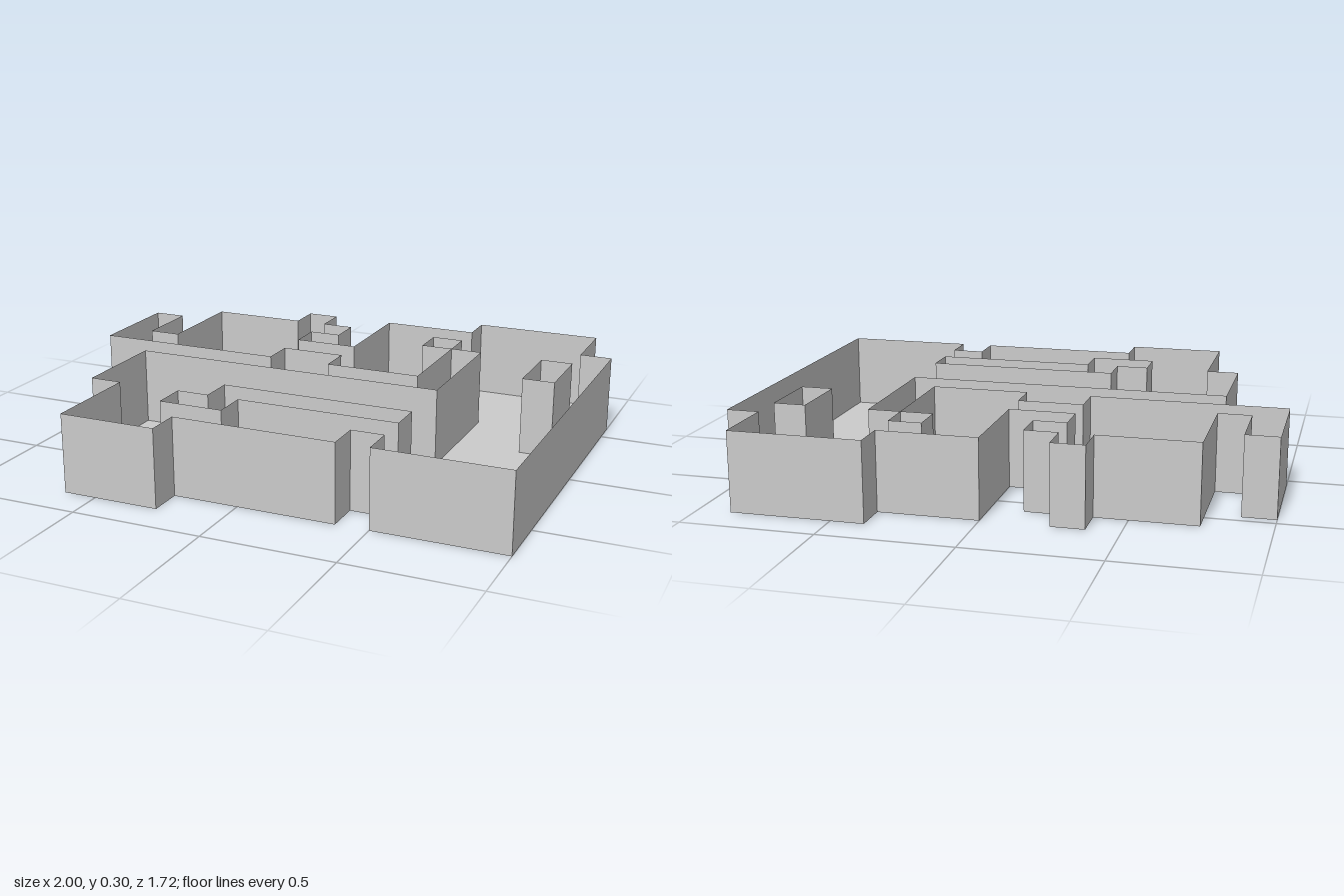
import * as THREE from 'three';
import { mergeGeometries } from 'three/addons/utils/BufferGeometryUtils.js';

// Floor plan: one character per cell, # is floor; rows run back to front
const PLAN = [
  '...........####.',
  '.....#..#######.',
  '..#####.##.#####',
  '#.####..###.##.#',
  '#.#########.##.#',
  '######..###.####',
  '............####',
  '..##############',
  '..##############',
  '..####......####',
  '...##..#########',
  '...########.####',
  '...###..........',
];
const COLS = 16, ROWS = PLAN.length;
const CX = 0.125, CZ = 0.132, HEIGHT = 0.3;

const isFloor = (c, r) => PLAN[r]?.[c] === '#';
const xAt = (c) => (c - COLS / 2) * CX;
const zAt = (r) => (r - ROWS / 2) * CZ;

// Consecutive stretches [start, end) where test(i) holds
function runs(n, test) {
  const out = [];
  for (let i = 0; i < n; i++) {
    if (!test(i)) continue;
    const start = i;
    while (i < n && test(i)) i++;
    out.push([start, i]);
  }
  return out;
}

// Upright panel between two plan points
function wallPanel(x0, z0, x1, z1) {
  const g = new THREE.PlaneGeometry(Math.hypot(x1 - x0, z1 - z0), HEIGHT);
  g.rotateY(-Math.atan2(z1 - z0, x1 - x0));
  return g.translate((x0 + x1) / 2, HEIGHT / 2, (z0 + z1) / 2);
}

export function createModel() {
  const group = new THREE.Group();
  group.name = 'roomPlan';
  const material = new THREE.MeshStandardMaterial({
    color: 0xcccccc, side: THREE.DoubleSide, flatShading: true,
  });
  const add = (name, parts) => {
    const mesh = new THREE.Mesh(mergeGeometries(parts), material);
    mesh.name = name;
    group.add(mesh);
  };

  // Floor strips, one per stretch of cells in a row
  const floor = [];
  for (let r = 0; r < ROWS; r++) {
    for (const [a, b] of runs(COLS, (c) => isFloor(c, r))) {
      floor.push(new THREE.PlaneGeometry((b - a) * CX, CZ).rotateX(-Math.PI / 2)
        .translate((xAt(a) + xAt(b)) / 2, 0, zAt(r + 0.5)));
    }
  }
  add('floor', floor);

  // Walls along x, on either the back or the front edge of the floor
  const crossWalls = [];
  for (let r = 0; r <= ROWS; r++) {
    for (const [a, b] of runs(COLS, (c) => isFloor(c, r) && !isFloor(c, r - 1)))
      crossWalls.push(wallPanel(xAt(a), zAt(r), xAt(b), zAt(r)));
    for (const [a, b] of runs(COLS, (c) => !isFloor(c, r) && isFloor(c, r - 1)))
      crossWalls.push(wallPanel(xAt(b), zAt(r), xAt(a), zAt(r)));
  }
  add('crossWalls', crossWalls);

  // Walls along z, on either side edge of the floor
  const sideWalls = [];
  for (let c = 0; c <= COLS; c++) {
    for (const [a, b] of runs(ROWS, (r) => isFloor(c, r) && !isFloor(c - 1, r)))
      sideWalls.push(wallPanel(xAt(c), zAt(b), xAt(c), zAt(a)));
    for (const [a, b] of runs(ROWS, (r) => !isFloor(c, r) && isFloor(c - 1, r)))
      sideWalls.push(wallPanel(xAt(c), zAt(a), xAt(c), zAt(b)));
  }
  add('sideWalls', sideWalls);

  return group;
}
